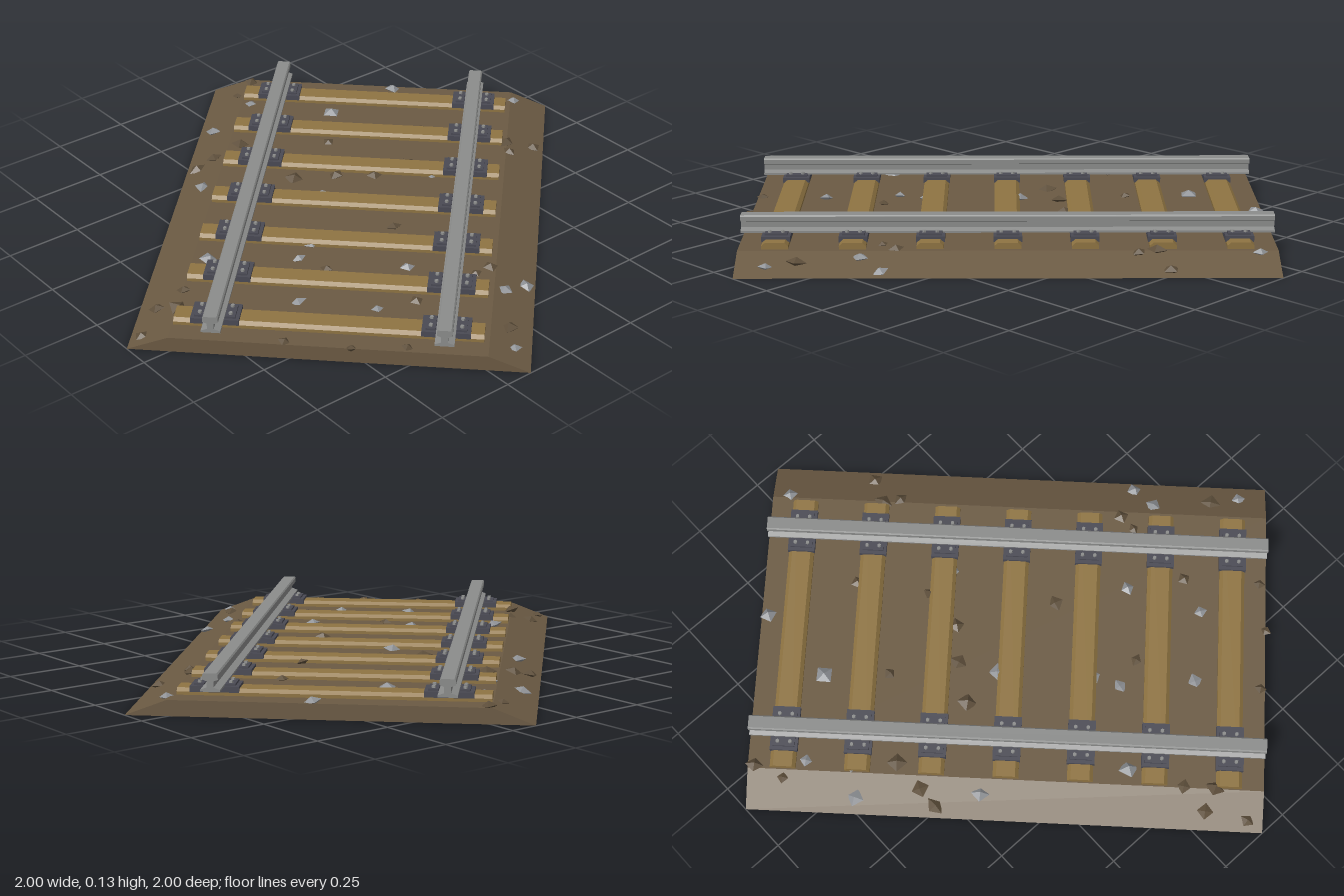
import * as THREE from 'three';

const mat = (name, color, flat = true) => {
  const m = new THREE.MeshStandardMaterial({ color, flatShading: flat });
  m.name = name;
  return m;
};

const LENGTH = 1.64, HALF_W = 0.594, TOP_W = 0.47, TOP_Y = 0.048, GAUGE = 0.342;

// Closed profile (right half, mirrored to the left) extruded along local x and centred
function extrudeProfile(half, length) {
  const left = half.map(([x, y]) => [-x, y]).reverse();
  const shape = new THREE.Shape([...half, ...left].map(([x, y]) => new THREE.Vector2(x, y)));
  const geo = new THREE.ExtrudeGeometry(shape, { depth: length, bevelEnabled: false });
  return geo.translate(0, 0, -length / 2).rotateY(Math.PI / 2);
}

export function createModel() {
  const earth = mat('earth brown', 0x6b5a43);
  const wood = mat('sleeper wood', 0x8f7442);
  const iron = mat('dark iron', 0x4a4a54);
  const steel = mat('rail steel', 0x8b8c8b);
  const gravel = mat('grey gravel', 0x8f9296);
  const soilStone = mat('brown gravel', 0x5e4f3b);

  const model = new THREE.Group();
  model.name = 'railwayTrack';
  const track = new THREE.Group();
  track.name = 'track';
  track.rotation.y = Math.PI / 4;
  model.add(track);

  const add = (parent, name, geo, material, x = 0, y = 0, z = 0) => {
    const mesh = new THREE.Mesh(geo, material);
    mesh.name = name;
    mesh.position.set(x, y, z);
    parent.add(mesh);
    return mesh;
  };

  // Embankment with sloping sides
  add(track, 'embankment', extrudeProfile([[HALF_W, 0], [TOP_W, TOP_Y]], LENGTH), earth);

  // Rails: foot, web and head in one profile
  const railGeo = extrudeProfile([
    [0.029, 0.075], [0.029, 0.081], [0.010, 0.088], [0.010, 0.106],
    [0.023, 0.111], [0.023, 0.125], [0.019, 0.129],
  ], LENGTH);
  for (const side of [-1, 1]) {
    add(track, side < 0 ? 'backRail' : 'frontRail', railGeo, steel, 0, 0, side * GAUGE);
  }

  // Sleepers with chamfered long edges, iron tie plates and bolts
  const sleeperGeo = extrudeProfile([[0.041, 0.03], [0.041, 0.058], [0.03, 0.068]], 0.92).rotateY(Math.PI / 2);
  const plateGeo = new THREE.BoxGeometry(0.088, 0.018, 0.145);
  const clipGeo = new THREE.BoxGeometry(0.07, 0.007, 0.03);
  const boltGeo = new THREE.CylinderGeometry(0.006, 0.007, 0.008, 6);
  for (let i = -3; i <= 3; i++) {
    const tie = new THREE.Group();
    tie.name = 'sleeperSet';
    tie.position.x = i * 0.236;
    track.add(tie);
    add(tie, 'sleeper', sleeperGeo, wood, 0, 0, -0.006);
    for (const side of [-1, 1]) {
      add(tie, 'tiePlate', plateGeo, iron, 0, 0.067, side * GAUGE);
      for (const edge of [-1, 1]) {
        const z = side * GAUGE + edge * 0.046;
        add(tie, 'railClip', clipGeo, iron, 0, 0.079, z);
        for (const end of [-1, 1]) add(tie, 'bolt', boltGeo, steel, end * 0.02, 0.085, z);
      }
    }
  }

  // Scattered ballast stones, given as x, z pairs
  const greySpots = [
    0.14, -0.76, 0.03, -0.66, -0.31, -0.42, -0.05, -0.72, 0.32, -0.53, 0.60, -0.53,
    0.88, -0.20, -0.27, 0.11, -0.05, -0.11, -0.50, 0.34, -0.12, 0.40, -0.34, 0.52,
    0.31, 0.02, 0.04, 0.67, 0.13, 0.67, -0.13, 0.90, -0.58, 0.09, -0.35, 0.15,
    0.22, 0.22, -0.57, -0.02, -0.41, -0.10,
  ];
  const brownSpots = [
    0.15, -0.85, 0.24, -0.89, -0.24, -0.55, -0.17, -0.55, -0.06, -0.55, -0.30, -0.30,
    0.06, -0.18, 0.18, -0.37, -0.06, -0.25, 0.49, -0.24, 0.16, -0.10, 0.06, 0.06,
    0.30, -0.09, 0.65, 0.01, 0.74, 0.05, 0.62, 0.06, -0.83, 0.07, -0.73, 0.07,
    -0.94, 0.15, -0.80, 0.14, -0.66, 0.48, -0.53, 0.63, -0.40, 0.73, -0.22, 0.56,
    0.08, 0.56, 0.02, 0.56, -0.08, 0.82, -0.32, 0.25, 0.00, 0.19,
  ];
  let seed = 7;
  const rand = () => (seed = (seed * 16807) % 2147483647) / 2147483647;
  const stoneGeo = new THREE.OctahedronGeometry(1, 0);
  const stones = new THREE.Group();
  stones.name = 'ballast';
  model.add(stones);
  const scatter = (spots, name, material) => {
    for (let i = 0; i < spots.length; i += 2) {
      const [x, z] = [spots[i], spots[i + 1]];
      const across = Math.abs(x + z) / Math.SQRT2;
      const ground = TOP_Y * Math.min(1, (HALF_W - across) / (HALF_W - TOP_W));
      const r = 0.02 + rand() * 0.014;
      const stone = add(stones, name, stoneGeo, material, x, ground + 0.002, z);
      stone.scale.set(r, r * 0.5, r * (0.75 + rand() * 0.3));
      stone.rotation.set((rand() - 0.5) * 0.5, rand() * 3, (rand() - 0.5) * 0.5);
    }
  };
  scatter(greySpots, 'greyStone', gravel);
  scatter(brownSpots, 'brownStone', soilStone);

  return model;
}
